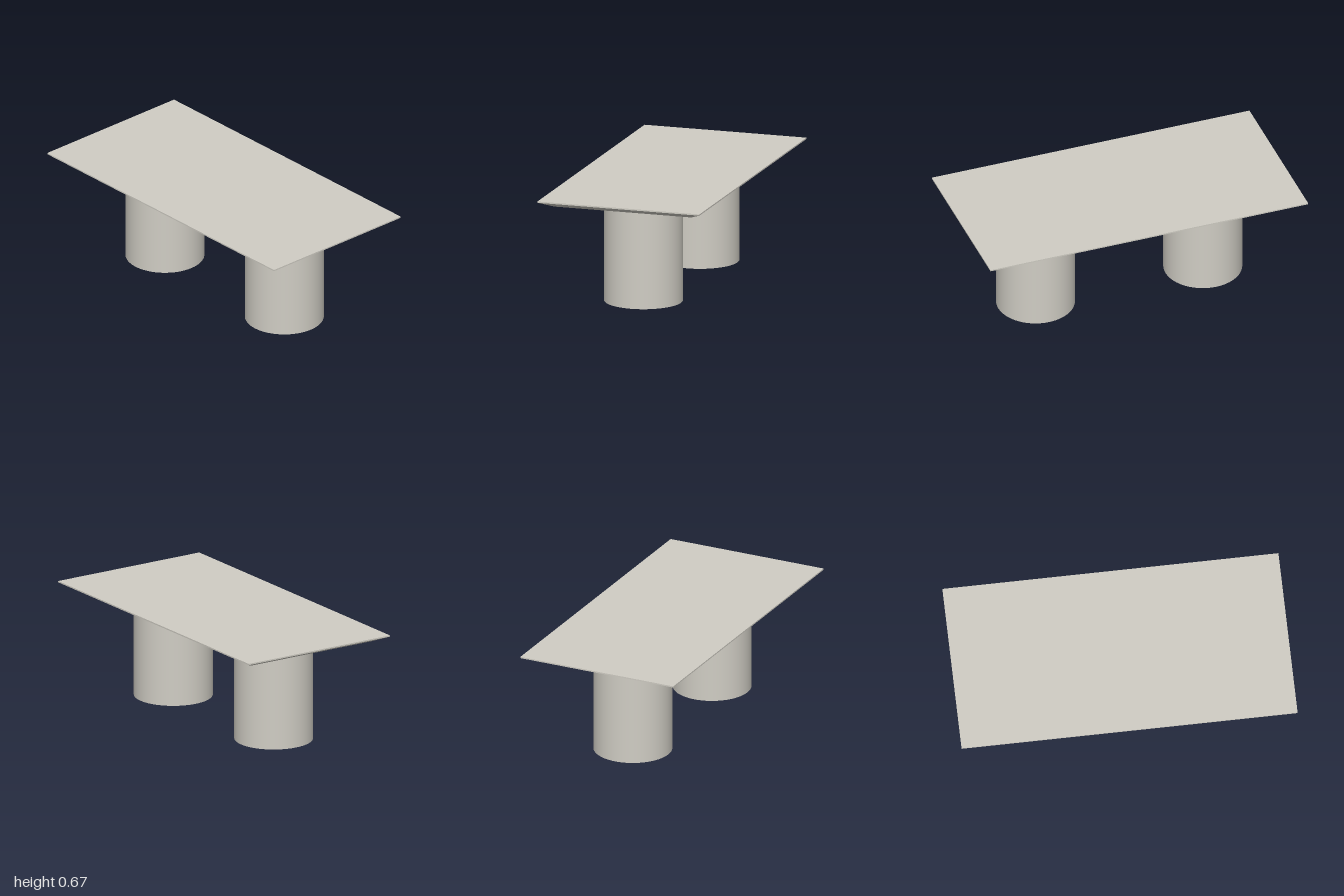
import * as THREE from 'three';

const WIDTH = 2, DEPTH = 1.01;
const UNDERSIDE = 0.626, RIM = 0.661, TOP = 0.669;
const BEVEL = 0.078;

// Slab with a thin upright rim and an undercut bevel down to a smaller underside
function slabGeometry() {
  const box = new THREE.BoxGeometry(WIDTH, 2, DEPTH, 1, 2, 1);
  const pos = box.attributes.position;
  for (let i = 0; i < pos.count; i++) {
    const level = Math.round(pos.getY(i)); // -1 underside, 0 rim, 1 top
    const inset = level < 0 ? BEVEL : 0;
    pos.setXYZ(
      i,
      Math.sign(pos.getX(i)) * (WIDTH / 2 - inset),
      [UNDERSIDE, RIM, TOP][level + 1],
      Math.sign(pos.getZ(i)) * (DEPTH / 2 - inset)
    );
  }
  const flat = box.toNonIndexed();
  flat.computeVertexNormals();
  return flat;
}

export function createModel() {
  const model = new THREE.Group();
  model.name = 'table';
  const stone = new THREE.MeshStandardMaterial({ color: 0xd0cdc4 });
  stone.name = 'warm grey stone';

  const tabletop = new THREE.Mesh(slabGeometry(), stone);
  tabletop.name = 'tabletop';
  model.add(tabletop);

  // Two round pedestals, set very slightly off centre
  const pedestal = new THREE.CylinderGeometry(0.234, 0.234, UNDERSIDE, 64);
  for (const [name, x] of [['rightPedestal', -0.521], ['leftPedestal', 0.532]]) {
    const leg = new THREE.Mesh(pedestal, stone);
    leg.name = name;
    leg.position.set(x, UNDERSIDE / 2, 0);
    model.add(leg);
  }
  return model;
}
